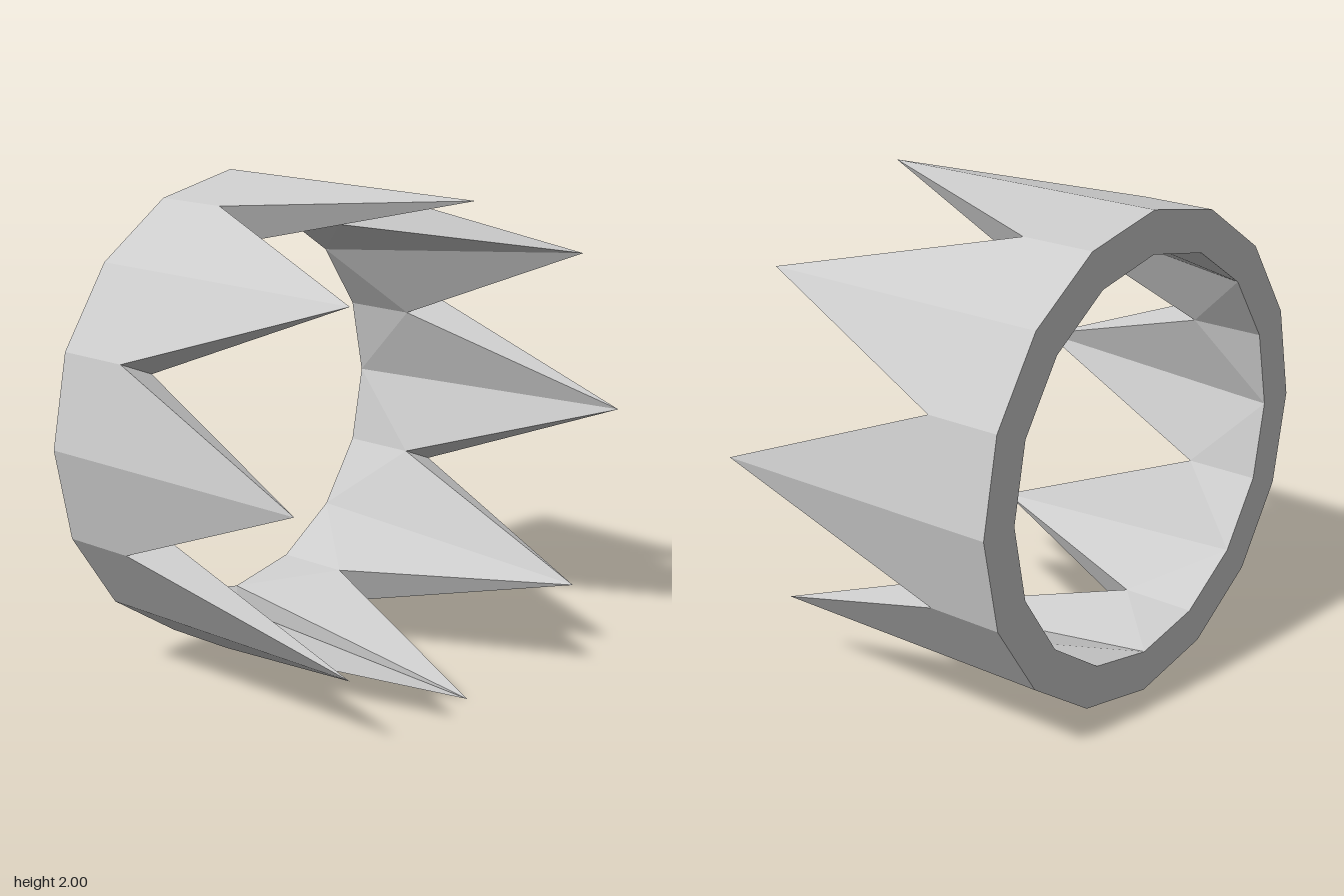
import * as THREE from 'three';

const TEETH = 8;
const OUTER = 1, INNER = 0.828;
const BACK = -0.645, VALLEY = -0.325, TIP = 0.645;

// Point on a ring around the z axis, raised so the ring stands on y = 0
const ringPoint = (angle, radius, z) =>
  [radius * Math.sin(angle), 1 + radius * Math.cos(angle), z];

// One half of a tooth with its share of the band; side is 1 or -1
function addHalfTooth(positions, tipAngle, side) {
  const valleyAngle = tipAngle + side * Math.PI / TEETH;
  const tip = ringPoint(tipAngle, OUTER, TIP);
  const tipBack = ringPoint(tipAngle, OUTER, BACK);
  const tipBackIn = ringPoint(tipAngle, INNER, BACK);
  const valley = ringPoint(valleyAngle, OUTER, VALLEY);
  const valleyIn = ringPoint(valleyAngle, INNER, VALLEY);
  const valleyBack = ringPoint(valleyAngle, OUTER, BACK);
  const valleyBackIn = ringPoint(valleyAngle, INNER, BACK);

  // Angles run clockwise seen from the front, so side 1 swaps the corner order
  const tri = (a, b, c) => positions.push(...a, ...(side > 0 ? [...c, ...b] : [...b, ...c]));

  // outer wall
  tri(tipBack, valleyBack, valley);
  tri(tipBack, valley, tip);
  // back rim
  tri(tipBack, tipBackIn, valleyBackIn);
  tri(tipBack, valleyBackIn, valleyBack);
  // inner wall, sloping out to the pointed tip
  tri(tipBackIn, valleyIn, valleyBackIn);
  tri(tipBackIn, tip, valleyIn);
  // cut edge of the tooth
  tri(tip, valley, valleyIn);
}

export function createModel() {
  const positions = [];
  for (let i = 0; i < TEETH; i++) {
    for (const side of [1, -1]) addHalfTooth(positions, i * 2 * Math.PI / TEETH, side);
  }

  const geometry = new THREE.BufferGeometry();
  geometry.setAttribute('position', new THREE.Float32BufferAttribute(positions, 3));
  geometry.computeVertexNormals();

  const ring = new THREE.Mesh(
    geometry,
    new THREE.MeshStandardMaterial({ color: 0xcccccc, flatShading: true })
  );
  ring.name = 'toothedRing';

  const group = new THREE.Group();
  group.name = 'crown';
  group.add(ring);
  return group;
}
